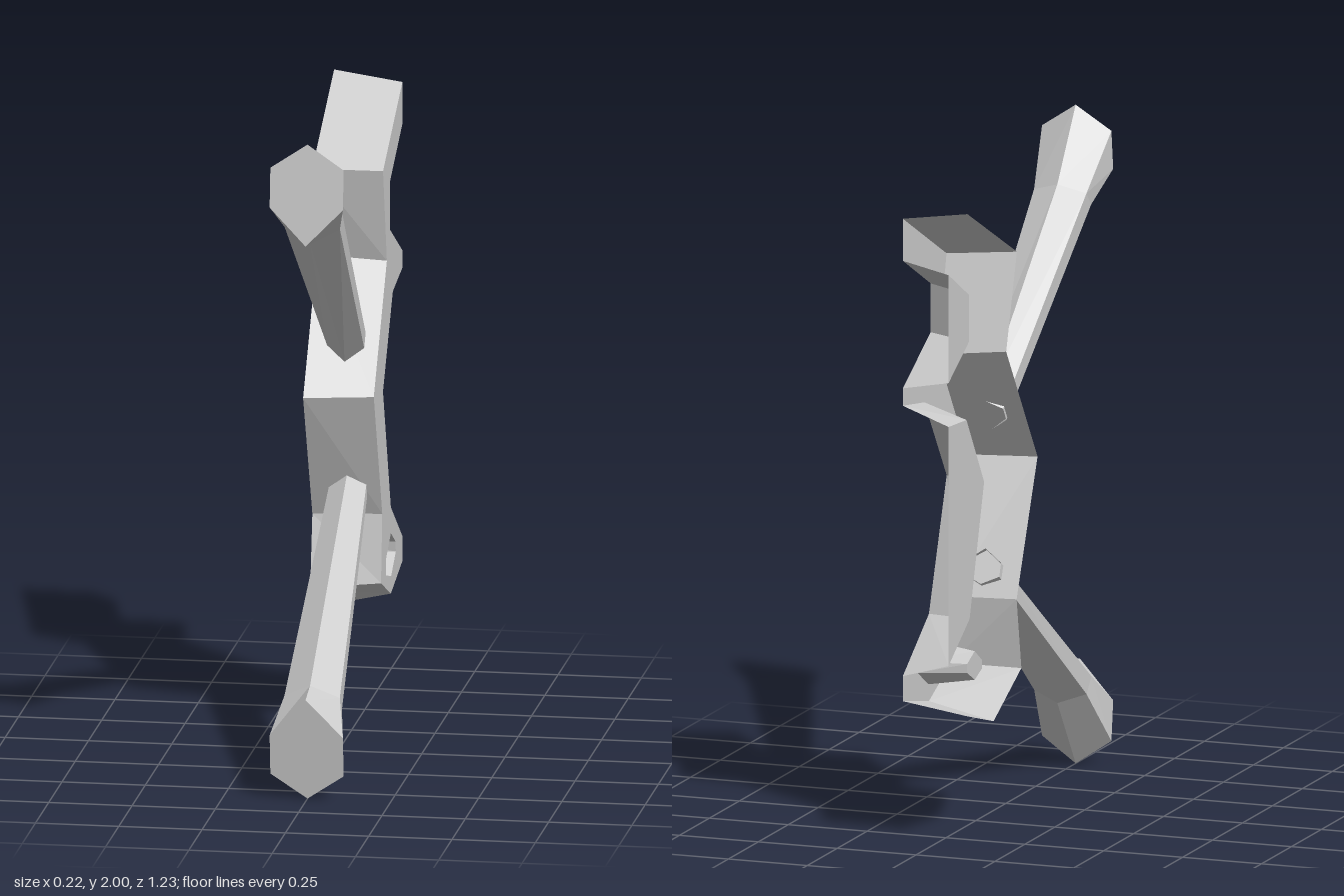
import * as THREE from 'three';

const material = new THREE.MeshStandardMaterial({ color: 0xcccccc, flatShading: true, side: THREE.DoubleSide });

// Frame depths: open rim, outer face, pocket floors
const RIM = -0.11, FACE = 0.095, FLOOR = -0.05;

// Profiles as [u, y], where u = -z
const outerRim = [[0.61, 1.925], [0.197, 1.725], [0.287, 1.44], [0.025, 1.067], [0.2, 0.67], [0.16, 0.453], [0.392, 0.34], [0.61, 0.4]];
const outerFace = [[0.61, 1.895], [0.245, 1.714], [0.317, 1.422], [0.07, 1.067], [0.23, 0.67], [0.207, 0.463], [0.392, 0.385], [0.61, 0.43]];
const upperEdge = [[0.61, 1.767], [0.377, 1.65], [0.377, 1.502], [0.61, 1.38]];
const upperFloor = [[0.61, 1.735], [0.44, 1.64], [0.44, 1.497], [0.61, 1.407]];
const lowerEdge = [[0.61, 1.327], [0.43, 1.3], [0.244, 1.04], [0.392, 0.65], [0.61, 0.506]];
const lowerFloor = [[0.61, 1.274], [0.46, 1.264], [0.313, 1.046], [0.434, 0.655], [0.61, 0.548]];
const socketEdge = [[0.392, 0.57], [0.303, 0.515], [0.305, 0.463], [0.397, 0.437], [0.486, 0.49], [0.48, 0.523]];
const socketFloor = [[0.392, 0.548], [0.33, 0.508], [0.33, 0.483], [0.392, 0.461], [0.455, 0.495], [0.455, 0.522]];

function addMesh(group, name, geometry) {
  const mesh = new THREE.Mesh(geometry, material);
  mesh.name = name;
  group.add(mesh);
}

function fromTriangles(positions) {
  const geometry = new THREE.BufferGeometry();
  geometry.setAttribute('position', new THREE.Float32BufferAttribute(positions, 3));
  geometry.computeVertexNormals();
  return geometry;
}

// Sloping wall joining two matching profiles at different depths
function wall(a, xa, b, xb, closed = false) {
  const positions = [];
  const count = closed ? a.length : a.length - 1;
  const point = ([u, y], x) => [x, y, -u];
  for (let i = 0; i < count; i++) {
    const j = (i + 1) % a.length;
    const p = point(a[i], xa), q = point(a[j], xa), r = point(b[j], xb), s = point(b[i], xb);
    positions.push(...p, ...q, ...r, ...p, ...r, ...s);
  }
  return fromTriangles(positions);
}

// Flat sheet facing +x
function sheet(profile, x, hole) {
  const toVectors = (pts) => pts.map(([u, y]) => new THREE.Vector2(u, y));
  const shape = new THREE.Shape(toVectors(profile));
  if (hole) shape.holes.push(new THREE.Path(toVectors(hole)));
  return new THREE.ShapeGeometry(shape).rotateY(Math.PI / 2).translate(x, 0, 0);
}

// Six-sided strut; each section is [outer z, outer y, inner z, inner y, half width]
function strut(sections, side) {
  const rings = sections.map(([z0, y0, z1, y1, w]) =>
    [[0, 0], [1, 0.24], [1, 0.63], [0, 1], [-1, 0.63], [-1, 0.24]].map(([s, t]) =>
      [s * side * w, y0 + (y1 - y0) * t, z0 + (z1 - z0) * t]));
  const positions = [];
  for (let k = 0; k < rings.length - 1; k++) {
    for (let i = 0; i < 6; i++) {
      const j = (i + 1) % 6;
      const a = rings[k][i], b = rings[k][j], c = rings[k + 1][j], d = rings[k + 1][i];
      positions.push(...a, ...b, ...c, ...a, ...c, ...d);
    }
  }
  // Flared foot
  const tip = rings[rings.length - 1];
  for (let i = 1; i < 5; i++) positions.push(...tip[0], ...tip[i], ...tip[i + 1]);
  return fromTriangles(positions);
}

export function createModel() {
  const model = new THREE.Group();

  // Open-backed frame with a tapered outer edge
  const frame = new THREE.Group();
  frame.name = 'frame';
  model.add(frame);
  addMesh(frame, 'outerWall', wall(outerRim, RIM, outerFace, FACE));
  const backward = (pts) => [...pts].reverse();
  const faceOutline = [...outerFace, ...backward(lowerEdge), ...backward(upperEdge)];
  addMesh(frame, 'sideFace', sheet(faceOutline, FACE, socketEdge));

  // Sunken pockets
  const pockets = [
    ['upperPocket', upperEdge, upperFloor, false],
    ['lowerPocket', lowerEdge, lowerFloor, false],
    ['socket', socketEdge, socketFloor, true],
  ];
  for (const [name, edge, floor, closed] of pockets) {
    addMesh(frame, name + 'Wall', wall(edge, FACE, floor, FLOOR, closed));
    addMesh(frame, name + 'Floor', sheet(floor, FLOOR));
  }

  // Struts spreading forward from the frame
  addMesh(model, 'upperStrut', strut([
    [-0.185, 1.262, -0.115, 1.16, 0.055],
    [0.43, 1.79, 0.53, 1.682, 0.083],
    [0.583, 2, 0.62, 1.697, 0.11],
  ], -1));
  addMesh(model, 'lowerStrut', strut([
    [-0.21, 0.71, -0.17, 0.81, 0.055],
    [0.43, 0.215, 0.535, 0.333, 0.083],
    [0.583, 0, 0.62, 0.31, 0.11],
  ], 1));

  return model;
}
